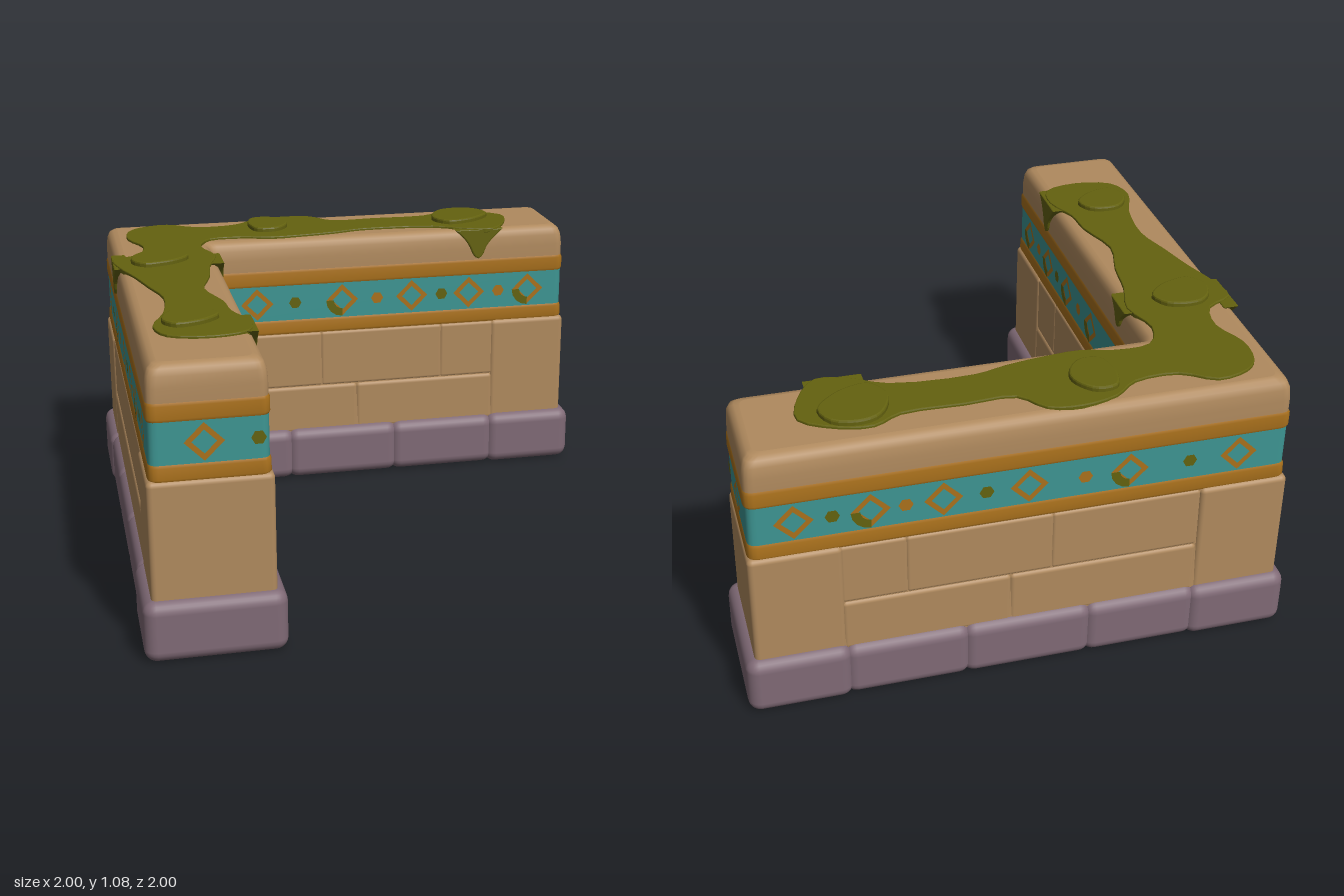
import * as THREE from 'three';
import { RoundedBoxGeometry } from 'three/addons/geometries/RoundedBoxGeometry.js';

const mat = (name, color) => Object.assign(new THREE.MeshStandardMaterial({ color }), { name });
const H = 0.955, I = -0.55; // outer half size and inner edge of the L plan

export function createModel() {
  const root = new THREE.Group();
  root.name = 'cornerWall';
  const sand = mat('sandstone', 0xb08a5e);
  const base = mat('baseStone', 0x806a76);
  const ochre = mat('ochre', 0xaa711c);
  const teal = mat('teal', 0x3d9592);
  const moss = mat('moss', 0x64620f);

  const add = (name, geo, material, parent = root) => {
    const m = new THREE.Mesh(geo, material);
    m.name = name;
    parent.add(m);
    return m;
  };

  // L outline with rounded corners, grown by d
  const outline = (d, r = 0.035) => {
    const o = H + d, i = I + d;
    const c = [[-o, -o], [-o, o], [i, o], [i, i], [o, i], [o, -o]].map(p => new THREE.Vector2(...p));
    return c.flatMap((p, k) => {
      const a = c[(k + 5) % 6].clone().sub(p).setLength(r).add(p);
      const b = c[(k + 1) % 6].clone().sub(p).setLength(r).add(p);
      return new THREE.QuadraticBezierCurve(a, p, b).getPoints(4);
    });
  };

  // Stack of L outlines: levels are [height, growth]
  const loft = levels => {
    const pos = [], idx = [];
    levels.forEach(([y, d]) => outline(d).forEach(p => pos.push(p.x, y, p.y)));
    const n = outline(0).length;
    for (let l = 0; l < levels.length - 1; l++) {
      for (let k = 0; k < n; k++) {
        const a = l * n + k, b = l * n + (k + 1) % n;
        idx.push(a, b, b + n, a, b + n, a + n);
      }
    }
    const g = new THREE.BufferGeometry();
    g.setAttribute('position', new THREE.Float32BufferAttribute(pos, 3));
    g.setIndex(idx);
    g.computeVertexNormals();
    return g;
  };

  // Wall body, painted bands and coping
  add('wallBody', loft([[0.2, 0.01], [0.42, 0.003], [0.66, 0]]), sand);
  add('lowerBand', loft([[0.655, 0], [0.665, 0.005], [0.705, 0.004], [0.715, 0]]), ochre);
  add('tealBand', loft([[0.715, 0], [0.865, 0]]), teal);
  add('upperBand', loft([[0.865, 0], [0.875, 0.004], [0.92, 0.004], [0.93, 0]]), ochre);
  add('coping', loft([[0.93, 0], [0.98, 0], [1.02, -0.004], [1.043, -0.013], [1.055, -0.028], [1.058, -0.045]]), sand);
  const cap = new THREE.ShapeGeometry(new THREE.Shape(outline(-0.045).map(p => new THREE.Vector2(p.x, -p.y))));
  add('copingTop', cap.rotateX(-Math.PI / 2), sand).position.y = 1.058;

  // Blocks running along either arm, from s to e
  const block = (name, material, alongX, s, e, y0, y1, lo, hi, r) => {
    const len = e - s, wide = hi - lo, mid = (lo + hi) / 2;
    const g = new RoundedBoxGeometry(alongX ? len : wide, y1 - y0, alongX ? wide : len, 3, r);
    const at = (s + e) / 2;
    add(name, g, material).position.set(alongX ? at : mid, (y0 + y1) / 2, alongX ? mid : at);
  };
  const row = (name, material, alongX, edges, gap, ...rest) => {
    for (let k = 0; k < edges.length - 1; k++) {
      block(name, material, alongX, edges[k] - gap, edges[k + 1] + gap, ...rest);
    }
  };
  block('baseCornerStone', base, true, -1, -0.62, 0.01, 0.232, -1, -0.62, 0.045);
  for (const alongX of [true, false]) {
    row('baseStone', base, alongX, [-0.64, -0.24, 0.21, 0.64], 0.015, 0.012, 0.232, -0.992, -0.508, 0.045);
    block('baseEndStone', base, alongX, 0.625, 1, 0.01, 0.235, -1, -0.505, 0.045);
    row('lowerBrick', sand, alongX, [-0.64, 0.05, 0.65], 0.004, 0.21, 0.42, -0.966, -0.539, 0.018);
    row('upperBrick', sand, alongX, [-0.64, -0.1, 0.42, 0.65], 0.004, 0.415, 0.656, -0.961, -0.544, 0.014);
    block('endPier', sand, alongX, 0.64, 0.965, 0.21, 0.66, -0.968, -0.538, 0.02);
  }
  block('cornerPier', sand, true, -0.968, -0.64, 0.21, 0.66, -0.968, -0.64, 0.02);

  // Faces of the wall: axis, plane position, outward sign
  const faces = {
    back: ['z', -H, -1], inner: ['z', I, 1], end: ['z', H, 1],
    left: ['x', -H, -1], innerSide: ['x', I, 1], sideEnd: ['x', H, 1],
  };
  const place = (mesh, face, u, y, out) => {
    const [axis, c, n] = faces[face];
    const w = c + n * out;
    mesh.position.set(axis === 'z' ? u : w, y, axis === 'z' ? w : u);
    mesh.rotation.y = axis === 'z' ? (n > 0 ? 0 : Math.PI) : n * Math.PI / 2;
    return mesh;
  };

  // Diamond frieze on the teal band, partly overgrown
  const diamonds = [-0.77, -0.37, -0.01, 0.29, 0.54, 0.8];
  const dots = [-0.59, -0.21, 0.14, 0.42, 0.67];
  const ring = new THREE.RingGeometry(0.042, 0.068, 4);
  const chip = new THREE.RingGeometry(0.036, 0.069, 4, 1, Math.PI, Math.PI / 2);
  const dot = new THREE.CircleGeometry(0.026, 6);
  const range = { back: [-1, 1], inner: [-0.5, 1], end: [-1, -0.55], left: [-1, 1], innerSide: [-0.5, 1], sideEnd: [-1, -0.55] };
  for (const [face, [lo, hi]] of Object.entries(range)) {
    const inside = u => u > lo && u < hi;
    diamonds.filter(inside).forEach((u, k) => {
      place(add('diamond', ring, ochre), face, u, 0.79, 0.003);
      if (k % 3 === 1 || face === 'innerSide') place(add('diamondMoss', chip, moss), face, u, 0.79, 0.005);
    });
    dots.filter(inside).forEach((u, k) => {
      place(add('friezeDot', dot, k % 2 ? ochre : moss), face, u, 0.79, 0.003);
    });
  }

  // Moss carpet on the coping (x, z)
  const carpet = [
    [-0.87, -0.8], [-0.82, -0.86], [-0.7, -0.89], [-0.58, -0.82], [-0.42, -0.83], [-0.33, -0.9], [-0.2, -0.93],
    [-0.08, -0.91], [0, -0.82], [0.18, -0.82], [0.4, -0.82], [0.5, -0.87], [0.62, -0.85], [0.74, -0.77], [0.72, -0.65],
    [0.64, -0.54], [0.53, -0.56], [0.4, -0.63], [0.1, -0.65], [-0.02, -0.62], [-0.15, -0.6], [-0.3, -0.59],
    [-0.42, -0.62], [-0.55, -0.61], [-0.6, -0.5], [-0.56, -0.35], [-0.6, -0.2], [-0.62, -0.05], [-0.66, 0.12],
    [-0.61, 0.3], [-0.6, 0.42], [-0.55, 0.55], [-0.57, 0.66], [-0.7, 0.7], [-0.85, 0.66], [-0.89, 0.55], [-0.84, 0.4],
    [-0.82, 0.2], [-0.86, 0.05], [-0.9, -0.1], [-0.95, -0.25], [-0.96, -0.36], [-0.86, -0.42], [-0.83, -0.55], [-0.88, -0.68],
  ];
  const slab = (points, depth, bevel) => {
    const curve = new THREE.CatmullRomCurve3(points.map(([x, z]) => new THREE.Vector3(x, -z, 0)), true);
    const shape = new THREE.Shape(curve.getPoints(points.length * 3).slice(0, -1).map(p => new THREE.Vector2(p.x, p.y)));
    return new THREE.ExtrudeGeometry(shape, {
      depth, bevelThickness: bevel, bevelSize: bevel, bevelOffset: -bevel, bevelSegments: 2,
    }).rotateX(-Math.PI / 2);
  };
  add('mossCarpet', slab(carpet, 0.012, 0.004), moss).position.y = 1.052;

  // Raised moss clumps
  for (const [x, z, r] of [[-0.29, -0.77, 0.1], [0.54, -0.75, 0.125], [-0.79, -0.31, 0.11], [-0.76, 0.5, 0.1]]) {
    const rim = Array.from({ length: 9 }, (_, k) => {
      const a = k / 9 * Math.PI * 2, q = r * (0.93 + 0.12 * Math.sin(2 * a + x * 5) + 0.06 * Math.cos(3 * a));
      return [q * Math.cos(a), q * Math.sin(a)];
    });
    add('mossClump', slab(rim, 0.012, 0.007), moss).position.set(x, 1.068, z);
  }

  // Moss hanging over the edges
  for (const [face, u, w, drop] of [
    ['inner', 0.58, 0.19, 0.12], ['innerSide', 0.57, 0.18, 0.13], ['innerSide', -0.31, 0.14, 0.09], ['left', -0.33, 0.2, 0.12],
  ]) {
    const s = new THREE.Shape();
    s.moveTo(-w / 2, 0);
    s.quadraticCurveTo(-w * 0.28, -drop * 0.25, -w * 0.17, -drop * 0.6);
    s.quadraticCurveTo(0, -drop * 1.35, w * 0.14, -drop * 0.6);
    s.quadraticCurveTo(w * 0.25, -drop * 0.3, w / 2, 0);
    const g = new THREE.ExtrudeGeometry(s, { depth: 0.045, bevelThickness: 0.006, bevelSize: 0.006, bevelSegments: 2, curveSegments: 6 });
    place(add('mossDrip', g, moss), face, u, 1.06, -0.04);
  }
  return root;
}
